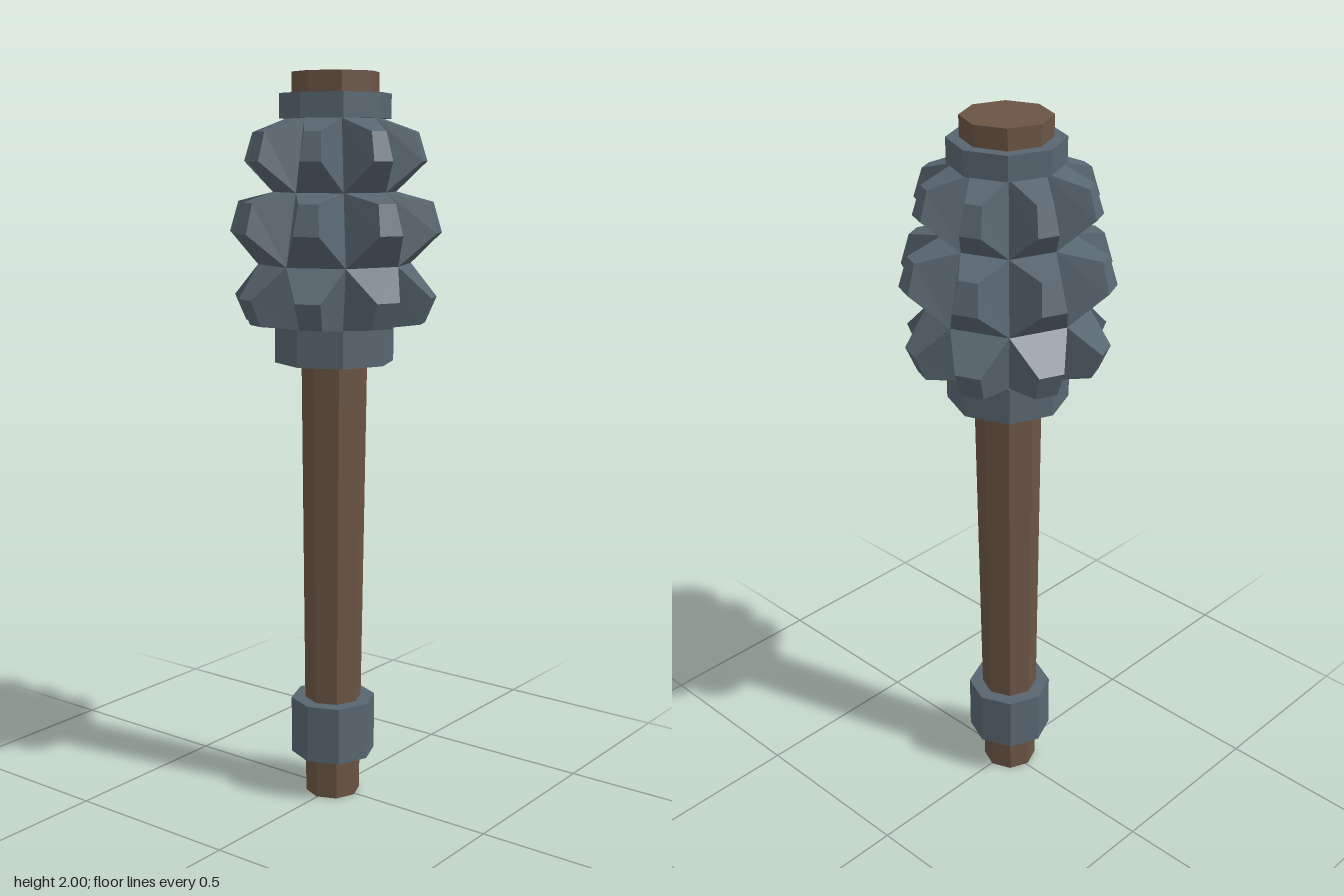
import * as THREE from 'three';

const wood = new THREE.MeshStandardMaterial({ color: 0x6a5444, flatShading: true });
const metal = new THREE.MeshStandardMaterial({ color: 0x586670, flatShading: true });
const SIDES = 8;
const STEP = (Math.PI * 2) / SIDES;

// Slight lean of the shaft: the foot sits a little off the axis
const leanX = (y) => -0.003 * (1 - y / 2);
const leanZ = (y) => 0.007 - 0.005 * y;

// Closed eight-sided turned part from [radius, height] pairs, following the lean
function turned(name, profile, material) {
  const points = profile.map(([r, y]) => new THREE.Vector2(r, y));
  const geometry = new THREE.LatheGeometry(points, SIDES);
  const pos = geometry.attributes.position;
  for (let i = 0; i < pos.count; i++) {
    const y = pos.getY(i);
    pos.setX(i, pos.getX(i) + leanX(y));
    pos.setZ(i, pos.getZ(i) + leanZ(y));
  }
  const mesh = new THREE.Mesh(geometry, material);
  mesh.name = name;
  return mesh;
}

function collar(name, radius, y0, y1) {
  return turned(name, [[0, y0], [radius, y0], [radius, y1], [0, y1]], metal);
}

// Ring of blunt spikes: each face of an octagonal band is drawn out to a smaller tip.
// base and tip each list [lower, upper] rows; tip rows also carry a half width.
function spikeTier(name, base, tip) {
  const positions = [];
  const quad = (a, b, c, d) => [a, b, c, a, c, d].forEach((p) => positions.push(...p));
  const corner = ([r, y], angle) => [r * Math.cos(angle), y, -r * Math.sin(angle)];
  const tipPoint = ([r, y, half], angle, side) => [
    r * Math.cos(angle) - side * half * Math.sin(angle),
    y,
    -r * Math.sin(angle) - side * half * Math.cos(angle),
  ];

  for (let i = 0; i < SIDES; i++) {
    const a0 = i * STEP, a1 = a0 + STEP, mid = a0 + STEP / 2;
    // Counter-clockwise as seen from outside
    const root = [corner(base[0], a0), corner(base[0], a1), corner(base[1], a1), corner(base[1], a0)];
    const end = [tipPoint(tip[0], mid, -1), tipPoint(tip[0], mid, 1), tipPoint(tip[1], mid, 1), tipPoint(tip[1], mid, -1)];
    for (let k = 0; k < 4; k++) {
      const n = (k + 1) % 4;
      quad(root[k], root[n], end[n], end[k]);
    }
    quad(...end);
  }
  const geometry = new THREE.BufferGeometry();
  geometry.setAttribute('position', new THREE.Float32BufferAttribute(positions, 3));
  geometry.computeVertexNormals();
  const mesh = new THREE.Mesh(geometry, metal);
  mesh.name = name;
  return mesh;
}

export function createModel() {
  const model = new THREE.Group();
  model.name = 'mace';

  // Tapered shaft, widening inside the head into the top stub
  model.add(turned('handle', [
    [0, 0], [0.076, 0], [0.09, 1.24], [0.116, 1.9], [0.117, 2], [0, 2],
  ], wood));

  // Metal bands
  model.add(collar('pommelBand', 0.118, 0.12, 0.28));
  model.add(collar('lowerCollar', 0.162, 1.235, 1.335));
  model.add(collar('upperCollar', 0.15, 1.88, 1.945));

  // Spiked head in three tiers, each sharing its rim with the next
  const head = new THREE.Group();
  head.name = 'head';
  const rims = [[0.155, 1.335], [0.207, 1.5], [0.166, 1.69], [0.13, 1.88]];
  const tips = [
    [[0.242, 1.345, 0.03], [0.272, 1.415, 0.034]],
    [[0.284, 1.585, 0.034], [0.262, 1.665, 0.026]],
    [[0.244, 1.77, 0.028], [0.222, 1.845, 0.022]],
  ];
  ['lowerSpikes', 'middleSpikes', 'upperSpikes'].forEach((name, i) => {
    head.add(spikeTier(name, [rims[i], rims[i + 1]], tips[i]));
  });
  model.add(head);

  return model;
}
